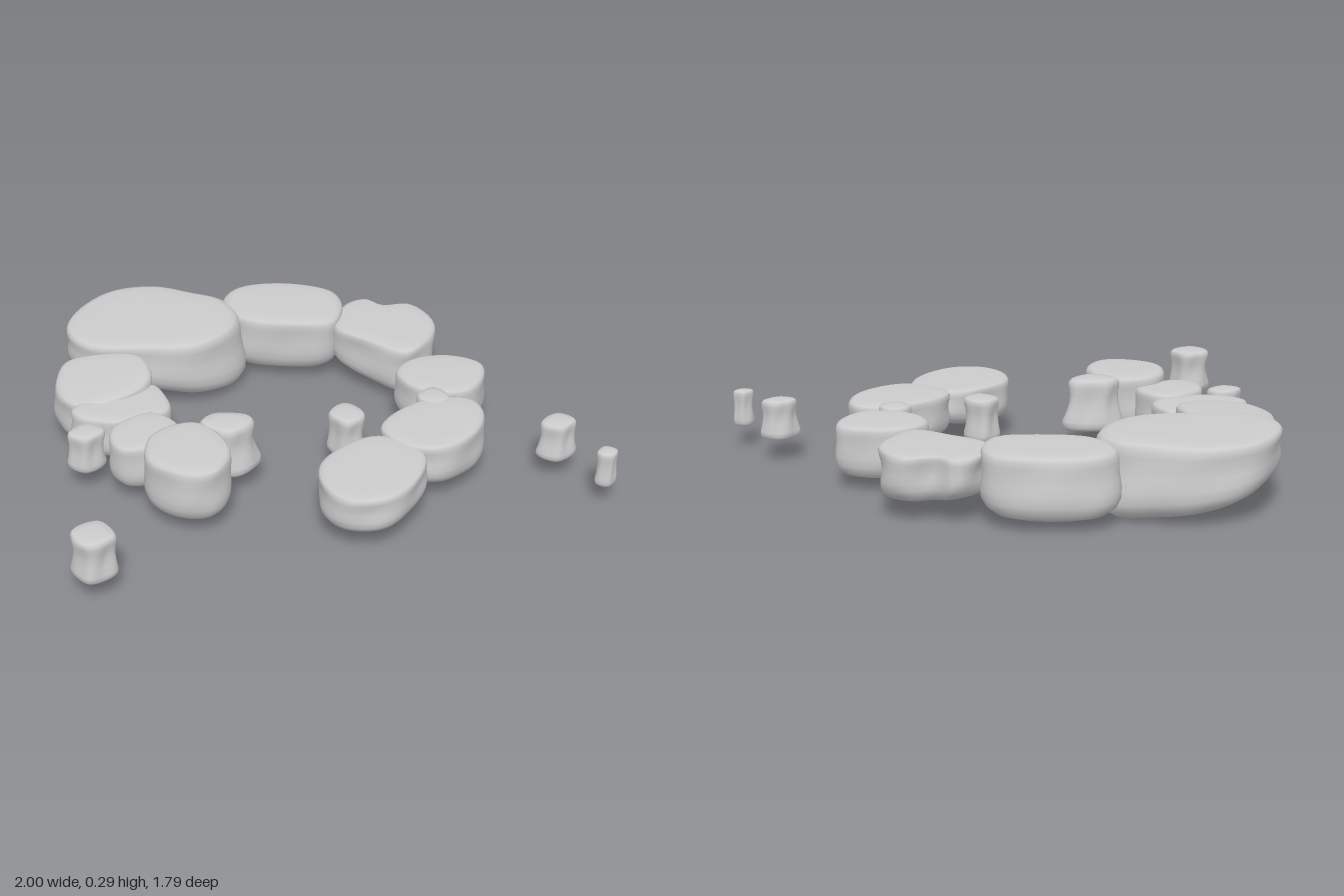
import * as THREE from 'three';

const SIDES = 48;
// Side profiles from the underside centre to the top centre: [height fraction, outline scale]
const STONE = [[0, 0], [0, 0.35], [0.02, 0.62], [0.07, 0.8], [0.16, 0.92], [0.28, 0.985], [0.42, 1], [0.56, 0.985],
  [0.7, 0.975], [0.82, 0.985], [0.91, 0.98], [0.965, 0.945], [0.99, 0.87], [1, 0.65], [1, 0.3], [1, 0]];
const PEBBLE = [[0, 0], [0, 0.5], [0.03, 0.84], [0.1, 0.98], [0.2, 1], [0.38, 0.92], [0.55, 0.88],
  [0.7, 0.89], [0.84, 0.95], [0.93, 0.94], [0.98, 0.84], [1, 0.5], [1, 0]];

// One smooth rock: flat x,z outline in hundredths (clockwise from above), bottom and top heights,
// slopes of underside and top, sideways shift of the underside, narrowing toward the top
function rock(name, outline, y0, y1, { slopeX = 0, slopeZ = 0, topX = 0, shiftX = 0, shiftZ = 0, taper = 0, profile = STONE, wave = 0.02 } = {}) {
  const pts = [];
  for (let i = 0; i < outline.length; i += 2) {
    pts.push(new THREE.Vector3(outline[i] / 100, 0, outline[i + 1] / 100));
  }
  const ring = new THREE.CatmullRomCurve3(pts, true, 'centripetal').getSpacedPoints(SIDES).slice(0, SIDES);
  const c = ring.reduce((s, p) => s.add(p), new THREE.Vector3()).divideScalar(SIDES);
  const pos = [], idx = [];
  profile.forEach(([t, s], k) => {
    ring.forEach((p, j) => {
      const a = (j / SIDES) * Math.PI * 2;
      // shallow vertical dents on the flanks
      const dent = 1 + wave * Math.sin(Math.PI * t) * (Math.sin(5 * a + c.x * 20 + t * 2) - 0.6);
      const scale = s * dent * (1 - taper * t);
      const dx = (p.x - c.x) * scale, dz = (p.z - c.z) * scale;
      const bottom = y0 + slopeX * dx + slopeZ * dz, top = y1 + topX * dx;
      pos.push(c.x + dx + shiftX * (1 - t), bottom + (top - bottom) * t, c.z + dz + shiftZ * (1 - t));
      if (k < profile.length - 1) {
        const A = k * SIDES + j, B = k * SIDES + (j + 1) % SIDES;
        idx.push(A, A + SIDES, B, B, A + SIDES, B + SIDES);
      }
    });
  });
  const g = new THREE.BufferGeometry();
  g.setAttribute('position', new THREE.Float32BufferAttribute(pos, 3));
  g.setIndex(idx);
  g.computeVertexNormals();
  const mesh = new THREE.Mesh(g, new THREE.MeshStandardMaterial({ color: 0xcccccc, roughness: 0.9 }));
  mesh.name = name;
  return mesh;
}

// Small slightly waisted stone, roughly square, turned by `turn`
function pebble(name, x, z, rx, rz, y0, y1, turn = 0, options = {}) {
  const outline = [];
  for (let i = 0; i < 8; i++) {
    const a = (i / 8) * Math.PI * 2 + turn;
    const r = i % 2 ? 0.96 : 1.06;
    outline.push((x + rx * r * Math.cos(a)) * 100, (z + rz * r * Math.sin(a)) * 100);
  }
  return rock(name, outline, y0, y1, { profile: PEBBLE, wave: 0.06, ...options });
}

export function createModel() {
  const model = new THREE.Group();
  model.name = 'stoneRing';

  // Back of the ring
  model.add(
    rock('backBoulder', [-60, -64, -54, -76, -37, -88, -26, -90, -12, -86, 0, -75, 10, -64, 10, -48, -1, -36, -16, -32, -32, -37, -55, -48],
      0.055, 0.307, { slopeX: -0.21, shiftX: 0.03, taper: 0.04 }),
    rock('backLeftStone', [8, -67, 18, -74, 38, -69, 53, -55, 52, -42, 42, -31, 27, -35, 8, -49],
      0.045, 0.29, { shiftZ: -0.02, taper: 0.03 }),
  );

  // Left arc
  model.add(
    rock('leftStone', [42, -32, 53, -47, 63, -48, 67, -41, 78, -37, 81, -20, 73, -9, 60, -2, 50, -15],
      0.07, 0.265, { slopeZ: -0.16, wave: 0.05 }),
    rock('leftFrontStone', [50, 6, 59, 1, 74, 4, 83, 15, 78, 25, 67, 31, 54, 25, 49, 16],
      0.06, 0.26, { slopeX: -0.06, slopeZ: 0.05 }),
    rock('leftLowStone', [56, 28, 64, 24, 72, 29, 71, 35, 65, 38, 58, 36], 0.065, 0.2),
    pebble('leftWedgeStone', 0.54, 0.3, 0.062, 0.065, 0.07, 0.268, 0.5),
  );

  // Front arc
  model.add(
    rock('frontLeftStone', [26, 41, 48, 30, 66, 35, 68, 43, 59, 57, 41, 63, 32, 59],
      0.075, 0.265, { slopeX: -0.08, wave: 0.03 }),
    rock('frontStone', [-8, 64, -2, 51, 16, 43, 27, 45, 35, 60, 27, 74, 8, 83, -4, 78],
      0.095, 0.255, { slopeX: 0.07, wave: 0.03 }),
  );

  // Right arc
  model.add(
    rock('rightBackStone', [-72, -40, -64, -51, -53, -50, -36, -39, -37, -22, -48, -14, -69, -16, -74, -25],
      0.065, 0.27, { topX: 0.12, taper: 0.05, wave: 0.04 }),
    rock('rightStone', [-73, -17, -58, -21, -38, -22, -36, -14, -39, -2, -56, 0, -70, -8], 0.075, 0.255),
    rock('rightFrontStone', [-67, 9, -62, 1, -46, -2, -40, 8, -42, 17, -56, 21, -65, 18], 0.075, 0.265),
    rock('rightEndStone', [-56, 19, -45, 14, -35, 16, -30, 30, -32, 41, -42, 50, -52, 47, -61, 34],
      0.07, 0.303, { wave: 0.03 }),
    rock('rightInnerStone', [-37, 16, -29, 12, -14, 20, -14, 25, -26, 31, -33, 27],
      0.1, 0.307, { profile: PEBBLE, taper: 0.16, shiftX: 0.01, wave: 0.05 }),
  );

  // Loose stones
  model.add(
    pebble('rightOuterPebble', -0.725, 0.005, 0.07, 0.055, 0.1, 0.26, 0.3),
    pebble('innerPebble', 0.195, 0.275, 0.066, 0.075, 0.09, 0.265, 0.4),
    pebble('strayRightPebble', -0.917, 0.62, 0.08, 0.08, 0.09, 0.265, 0.6),
    pebble('strayLeftPebble', 0.89, 0.62, 0.077, 0.06, 0.1, 0.255, 0.3, { taper: 0.12 }),
    pebble('strayTinyPebble', 0.958, 0.855, 0.04, 0.035, 0.1, 0.245, 0.2),
  );
  return model;
}
